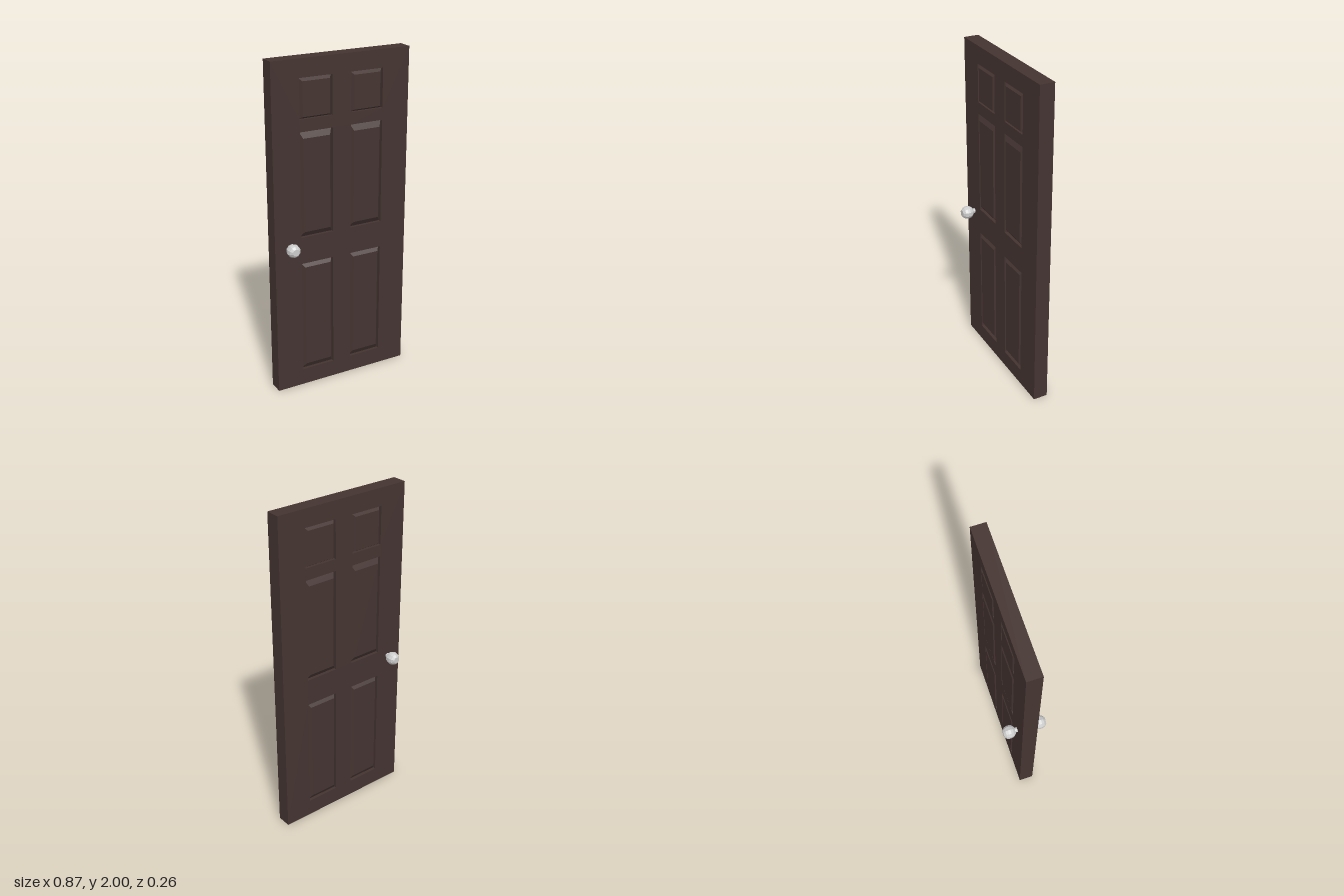
import * as THREE from 'three';

const W = 0.433, H = 2, HALF = 0.044;   // door half width, height, half thickness
const FIELD = 0.047, GROOVE = 0.025;    // half depths at panel field and at groove bottom

// panel columns (outer x range) and rows (outer y range, inner y range)
const columns = [[-0.265, -0.06], [0.057, 0.262]];
const rows = [
  { name: 'lowerPanel', y: [0.103, 0.804], inner: [0.138, 0.778] },
  { name: 'middlePanel', y: [0.968, 1.593], inner: [1.0, 1.555] },
  { name: 'upperPanel', y: [1.664, 1.894], inner: [1.677, 1.875] },
];

function rectangle(Type, x0, x1, y0, y1) {
  return new Type([[x0, y0], [x1, y0], [x1, y1], [x0, y1]].map(p => new THREE.Vector2(...p)));
}

// raised panel: a slab whose front and back faces shrink to the inner rectangle
function panelGeometry([x0, x1], row) {
  const g = new THREE.BoxGeometry(1, 1, 3, 1, 1, 3);
  const p = g.attributes.position;
  for (let i = 0; i < p.count; i++) {
    const z = p.getZ(i), face = Math.abs(z) > 1;
    const side = p.getX(i) > 0 ? 1 : 0, top = p.getY(i) > 0 ? 1 : 0;
    const inset = face ? 0.019 : 0;
    p.setXYZ(i, side ? x1 - inset : x0 + inset,
      (face ? row.inner : row.y)[top], Math.sign(z) * (face ? FIELD : GROOVE));
  }
  g.computeVertexNormals();
  return g;
}

export function createModel() {
  const door = new THREE.Group();
  door.name = 'door';
  const wood = new THREE.MeshStandardMaterial({ color: 0x443431, flatShading: true });
  const metal = new THREE.MeshStandardMaterial({ color: 0xcccccc, flatShading: true });

  const add = (name, geometry, material) => {
    const mesh = new THREE.Mesh(geometry, material);
    mesh.name = name;
    door.add(mesh);
    return mesh;
  };

  // frame with six openings
  const outline = rectangle(THREE.Shape, -W, W, 0, H);
  for (const [x0, x1] of columns)
    for (const row of rows) outline.holes.push(rectangle(THREE.Path, x0, x1, ...row.y));
  const frame = new THREE.ExtrudeGeometry(outline, { depth: 2 * HALF, bevelEnabled: false });
  frame.translate(0, 0, -HALF);
  add('frame', frame, wood);

  // raised panels, bevelled on both faces
  columns.forEach((column, i) => {
    for (const row of rows) add(row.name + (i ? 'Left' : 'Right'), panelGeometry(column, row), wood);
  });

  // faceted knob with stem on each face
  const profile = [
    [0.015, 0.03], [0.015, 0.059], [0.022, 0.059], [0.034, 0.071], [0.039, 0.086],
    [0.039, 0.101], [0.034, 0.116], [0.021, 0.129], [0, 0.129],
  ].map(p => new THREE.Vector2(...p));
  for (const s of [1, -1]) {
    const knob = add(s > 0 ? 'frontKnob' : 'backKnob', new THREE.LatheGeometry(profile, 10), metal);
    knob.rotation.x = s * Math.PI / 2;
    knob.position.set(-0.342, 0.922, 0);
  }
  return door;
}
